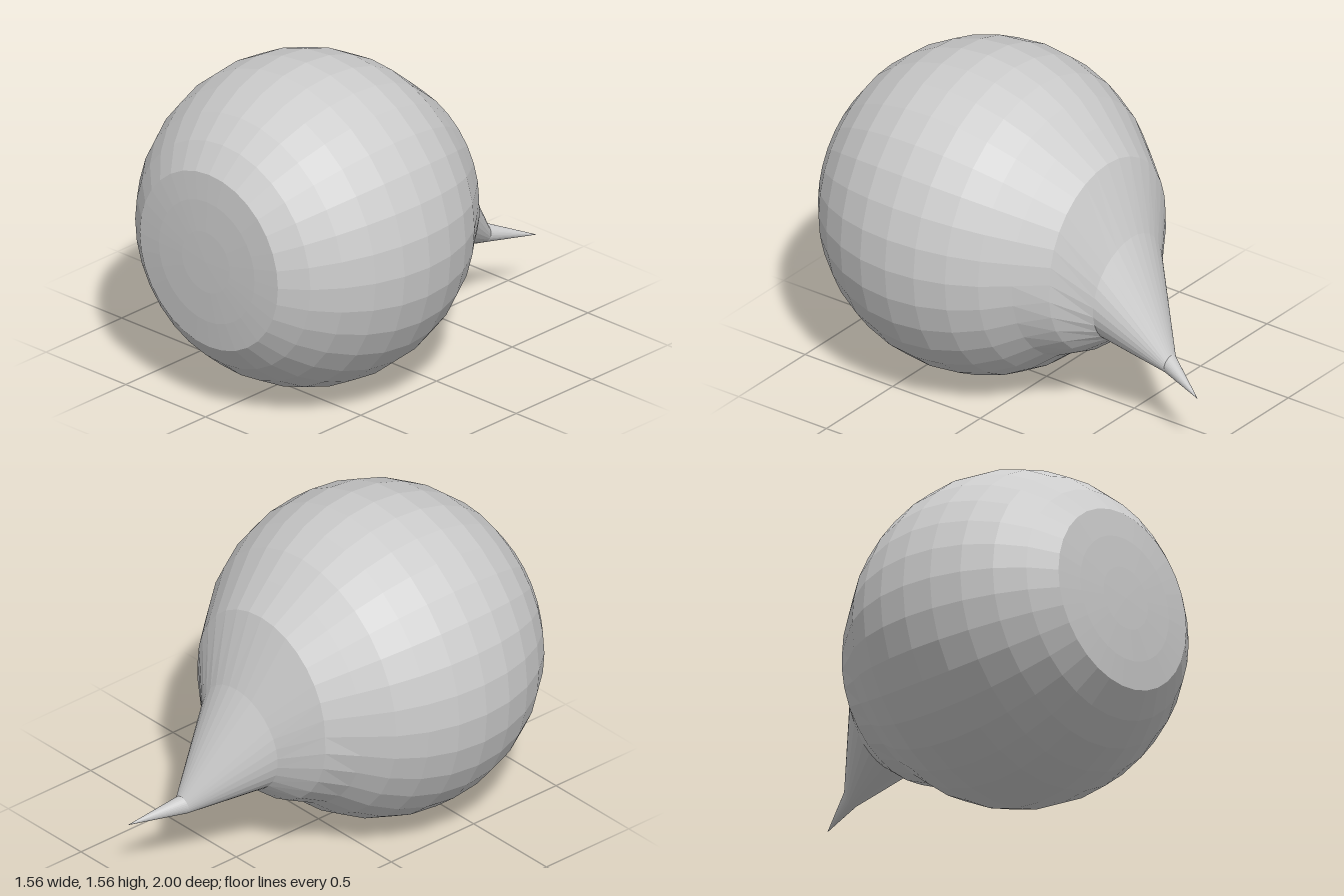
import * as THREE from 'three';

const SIDES = 32, R = 0.778, CY = 0.783, CZ = 0.335;

// Skin a row of rings running front to back; bulge widens the lower half, tilt leans the ring in z
function loft(name, rings) {
  const pos = [], idx = [];
  for (const { x = 0, y = CY, z, r, bulge = 0, tilt = 0 } of rings) {
    for (let j = 0; j < SIDES; j++) {
      const a = (j / SIDES) * Math.PI * 2, s = Math.sin(a);
      const rr = r + bulge * Math.max(0, -s);
      pos.push(x + rr * Math.cos(a), y + rr * s, z + tilt * s);
    }
  }
  for (let i = 0; i < rings.length - 1; i++) {
    for (let j = 0; j < SIDES; j++) {
      const a = i * SIDES + j, b = i * SIDES + ((j + 1) % SIDES);
      const c = a + SIDES, d = b + SIDES;
      if (rings[i].r > 0) idx.push(a, c, b);
      if (rings[i + 1].r > 0) idx.push(b, c, d);
      else if (rings[i].r > 0) idx[idx.length - 2] = c;
    }
  }
  // Faces touching a closing point need only one triangle each
  const geo = new THREE.BufferGeometry();
  geo.setAttribute('position', new THREE.Float32BufferAttribute(pos, 3));
  geo.setIndex(idx);
  geo.computeVertexNormals();
  const mesh = new THREE.Mesh(geo, new THREE.MeshStandardMaterial({ color: 0xcccccc, flatShading: true }));
  mesh.name = name;
  return mesh;
}

export function createModel() {
  const group = new THREE.Group();
  group.name = 'eyeball';

  // Flattened, faintly domed front
  const rim = { z: 0.977, r: 0.433 };
  group.add(loft('frontDisc', [
    { z: 1.0, r: 0 }, { z: 0.998, r: 0.15 }, { z: 0.991, r: 0.3 }, rim,
  ]));

  // Round ball, from the front rim to the start of the stalk
  const ball = [rim];
  for (let k = 4; k <= 12; k++) {
    const t = (k / 16) * Math.PI;
    ball.push({ z: CZ + R * Math.cos(t), r: R * Math.sin(t) });
  }
  const shoulder = { z: -0.347, r: 0.438, bulge: 0.055 };
  ball.push(shoulder);
  group.add(loft('ball', ball));

  // Stalk narrowing downwards and to one side
  const base = { x: 0.01, y: 0.63, z: -0.47, r: 0.26, tilt: -0.02 };
  const neck = { x: 0.075, y: 0.355, z: -0.76, r: 0.045, tilt: -0.008 };
  group.add(loft('stalk', [shoulder, base, neck]));

  // Pointed end of the stalk
  group.add(loft('stalkTip', [neck, { x: 0.18, y: 0.295, z: -1.0, r: 0 }]));

  return group;
}
